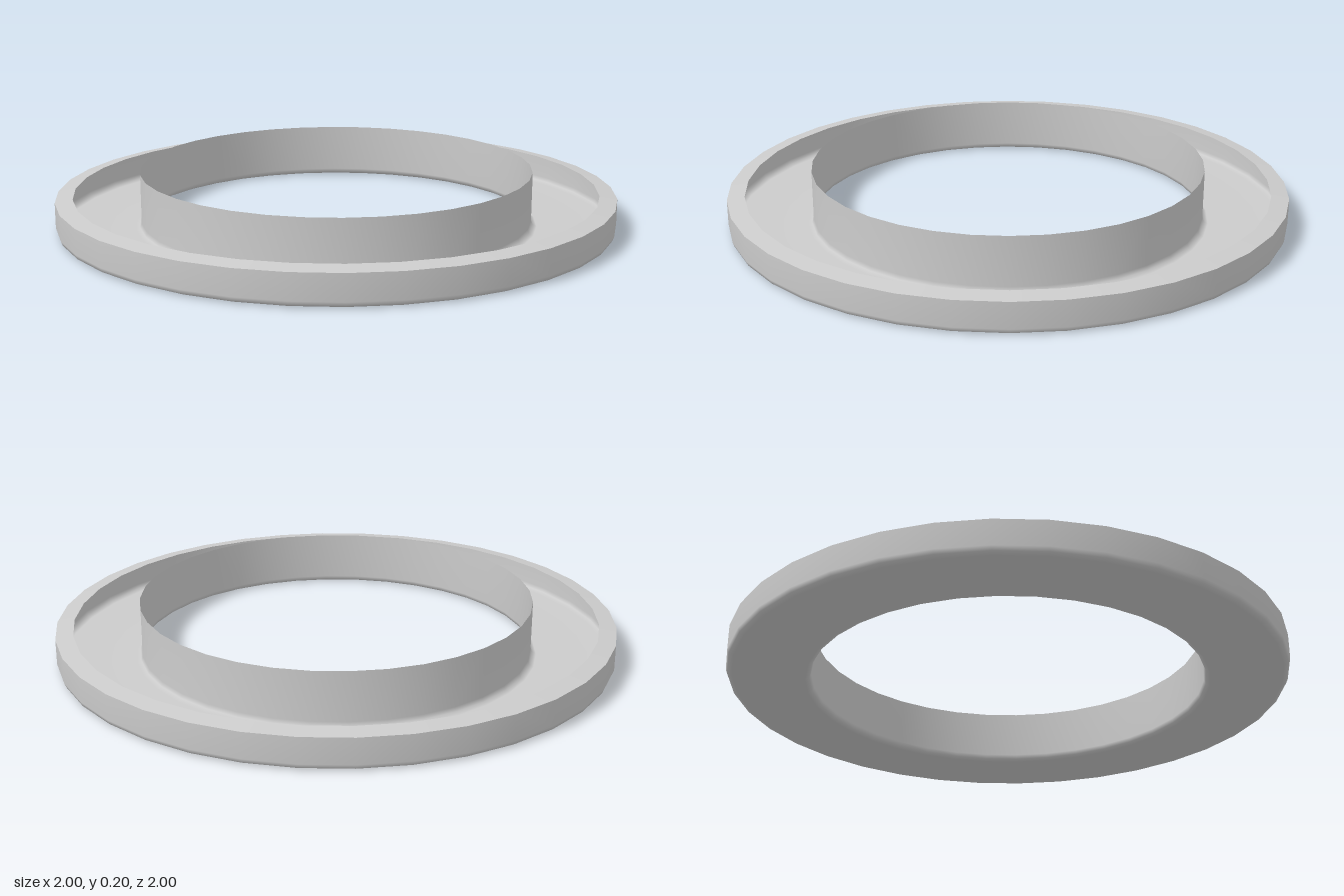
import * as THREE from 'three';

const SEGMENTS = 36;

export function createModel() {
  const group = new THREE.Group();
  group.name = 'flangedRing';
  const material = new THREE.MeshStandardMaterial({ color: 0xcccccc, side: THREE.DoubleSide });

  // Revolve a thin sheet from [radius, height] pairs
  const addRing = (name, profile) => {
    const points = profile.map(([r, y]) => new THREE.Vector2(r, y));
    const mesh = new THREE.Mesh(new THREE.LatheGeometry(points, SEGMENTS), material);
    mesh.name = name;
    group.add(mesh);
  };

  // Collar, floor and outer wall: one continuous sheet with soft bends
  addRing('collarAndTray', [
    [0.702, 0.197], [0.702, 0.022], [0.708, 0.007], [0.722, 0],
    [0.978, 0], [0.994, 0.007], [1, 0.022], [1, 0.112],
  ]);

  // Lip turned inward over the tray, rising slightly to its free edge
  addRing('rimLip', [[1, 0.112], [0.938, 0.121]]);

  return group;
}
